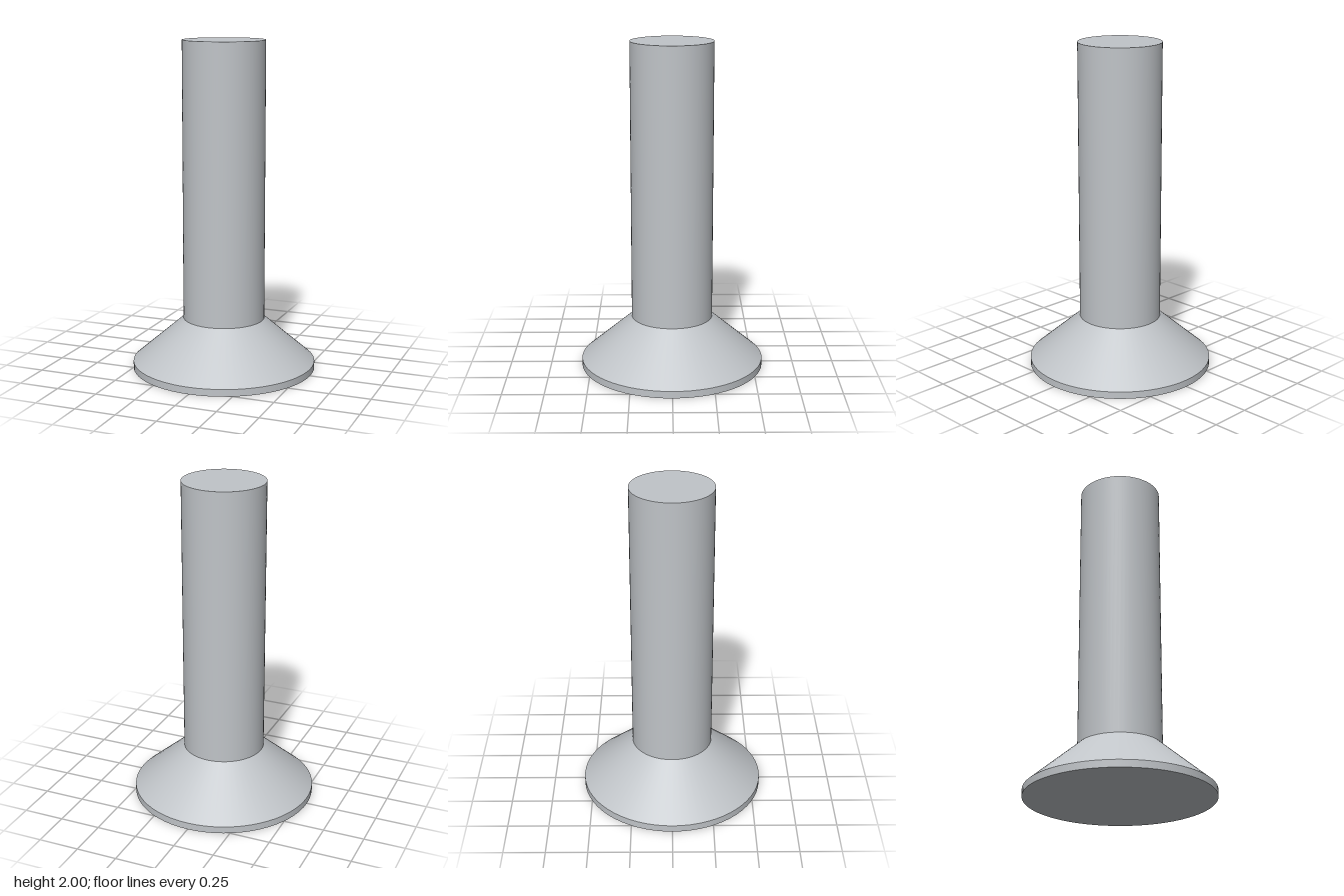
import * as THREE from 'three';

const SIDES = 64;
const SHAFT_R = 0.248, HEAD_R = 0.558;
const RIM_Y = 0.043, NECK_Y = 0.31, TOP_Y = 2;

export function createModel() {
  const steel = new THREE.MeshStandardMaterial({ color: 0xc0c4c8 });
  steel.name = 'steel';
  const model = new THREE.Group();
  model.name = 'countersunkRivet';

  const add = (name, geometry, y) => {
    const mesh = new THREE.Mesh(geometry, steel);
    mesh.name = name;
    mesh.position.y = y;
    model.add(mesh);
    return mesh;
  };
  // Open-ended round section between two heights
  const section = (name, rTop, rBottom, y0, y1) =>
    add(name, new THREE.CylinderGeometry(rTop, rBottom, y1 - y0, SIDES, 1, true), (y0 + y1) / 2);
  // Flat end disc facing up (1) or down (-1)
  const disc = (name, radius, y, facing) => {
    add(name, new THREE.CircleGeometry(radius, SIDES), y).rotation.x = -facing * Math.PI / 2;
  };

  // Head: flat underside, thin rim and conical flank
  disc('headFace', HEAD_R, 0, -1);
  section('headRim', HEAD_R, HEAD_R, 0, RIM_Y);
  section('headCone', SHAFT_R, HEAD_R, RIM_Y, NECK_Y);

  // Shaft with a flat end
  section('shaft', SHAFT_R, SHAFT_R, NECK_Y, TOP_Y);
  disc('shaftEnd', SHAFT_R, TOP_Y, 1);

  return model;
}
